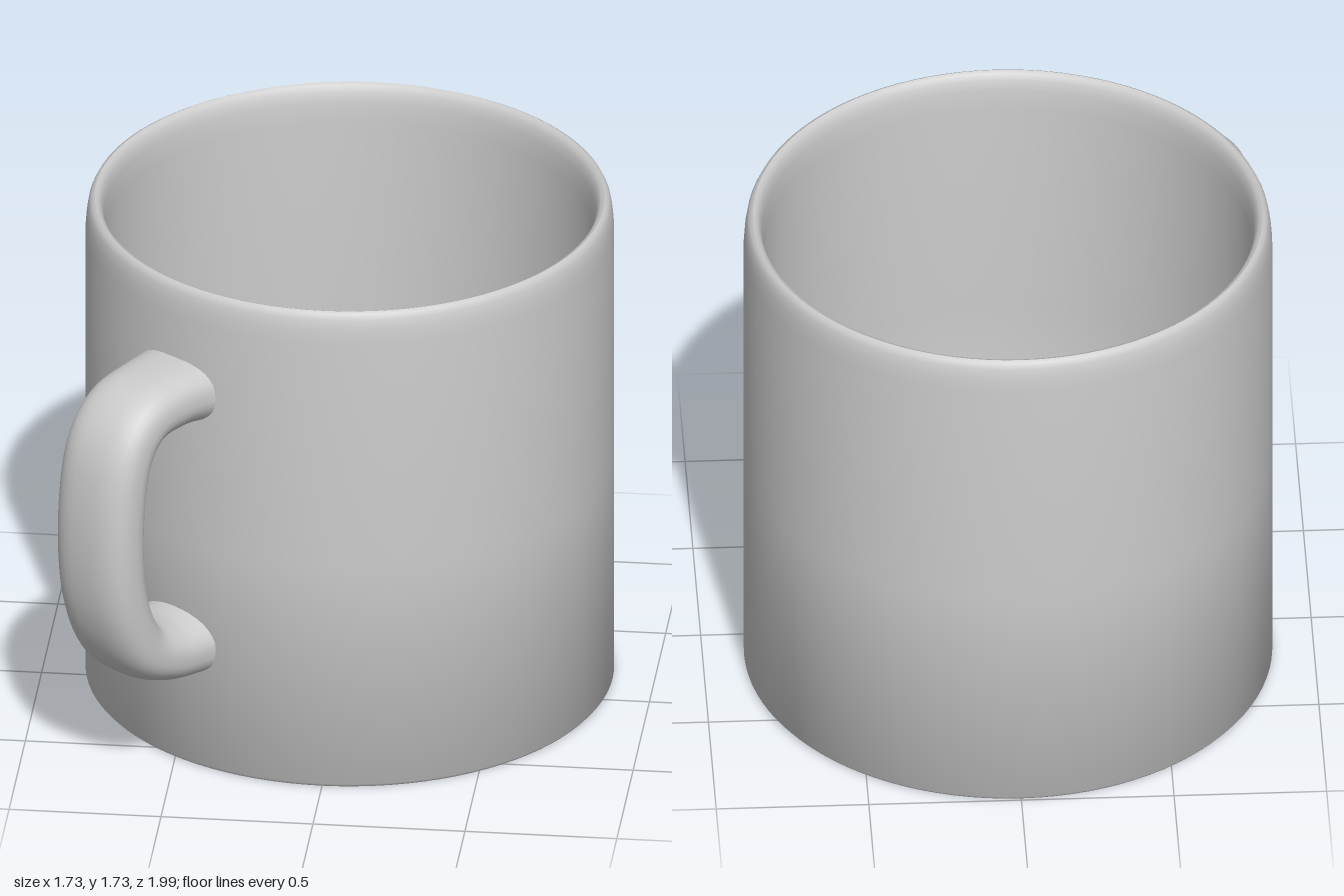
import * as THREE from 'three';
import { toCreasedNormals } from 'three/addons/utils/BufferGeometryUtils.js';

const v2 = (x, y) => new THREE.Vector2(x, y);

// Hollow cup: outer wall, rounded rim, inner wall and floor in one profile
function makeCup() {
  const profile = [
    v2(0, 0), v2(0.855, 0), v2(0.865, 0.012), v2(0.865, 0.8), v2(0.865, 1.62),
    v2(0.861, 1.67), v2(0.855, 1.705), v2(0.846, 1.724), v2(0.835, 1.73),
    v2(0.822, 1.724), v2(0.811, 1.705), v2(0.804, 1.67), v2(0.8, 1.6),
    v2(0.8, 0.8), v2(0.8, 0.14), v2(0.788, 0.1), v2(0.75, 0.08), v2(0, 0.08),
  ];
  return toCreasedNormals(new THREE.LatheGeometry(profile, 96), 0.7);
}

// Handle: a section, flatter outside than inside, swept along an arc in the XY plane
function makeHandle() {
  const path = new THREE.SplineCurve([
    v2(0.81, 1.355), v2(0.95, 1.36), v2(1.09, 1.335), v2(1.18, 1.22), v2(1.215, 0.98),
    v2(1.195, 0.72), v2(1.11, 0.53), v2(0.97, 0.455), v2(0.81, 0.445),
  ]);
  const steps = 72, sides = 32, positions = [], index = [];
  for (let i = 0; i <= steps; i++) {
    const t = i / steps;
    const p = path.getPointAt(t), d = path.getTangentAt(t);
    // slight flare where the handle meets the wall
    const flare = 1 + 0.16 * Math.pow(Math.abs(2 * t - 1), 10);
    for (let j = 0; j < sides; j++) {
      const a = (j / sides) * Math.PI * 2, c = Math.cos(a), s = Math.sin(a);
      const power = c > 0 ? 0.75 : 0.95;
      const u = Math.sign(c) * Math.pow(Math.abs(c), power) * 0.103 * flare;
      const v = Math.sign(s) * Math.pow(Math.abs(s), power) * 0.155 * flare;
      positions.push(p.x - d.y * u, p.y + d.x * u, v);
      if (i < steps) {
        const k = (j + 1) % sides, r = i * sides, q = r + sides;
        index.push(r + j, r + k, q + j, r + k, q + k, q + j);
      }
    }
  }
  const geometry = new THREE.BufferGeometry();
  geometry.setAttribute('position', new THREE.Float32BufferAttribute(positions, 3));
  geometry.setIndex(index);
  geometry.computeVertexNormals();
  return geometry;
}

export function createModel() {
  const material = new THREE.MeshStandardMaterial({ color: 0xcccccc });
  const model = new THREE.Group();
  model.name = 'mug';

  const cup = new THREE.Mesh(makeCup(), material);
  cup.name = 'cup';

  // The handle points to the front and the right of the cup
  const handle = new THREE.Mesh(makeHandle(), material);
  handle.name = 'handle';
  handle.rotation.y = Math.atan2(-0.812, -0.584);

  model.add(cup, handle);
  model.position.z = -0.135;
  return model;
}
